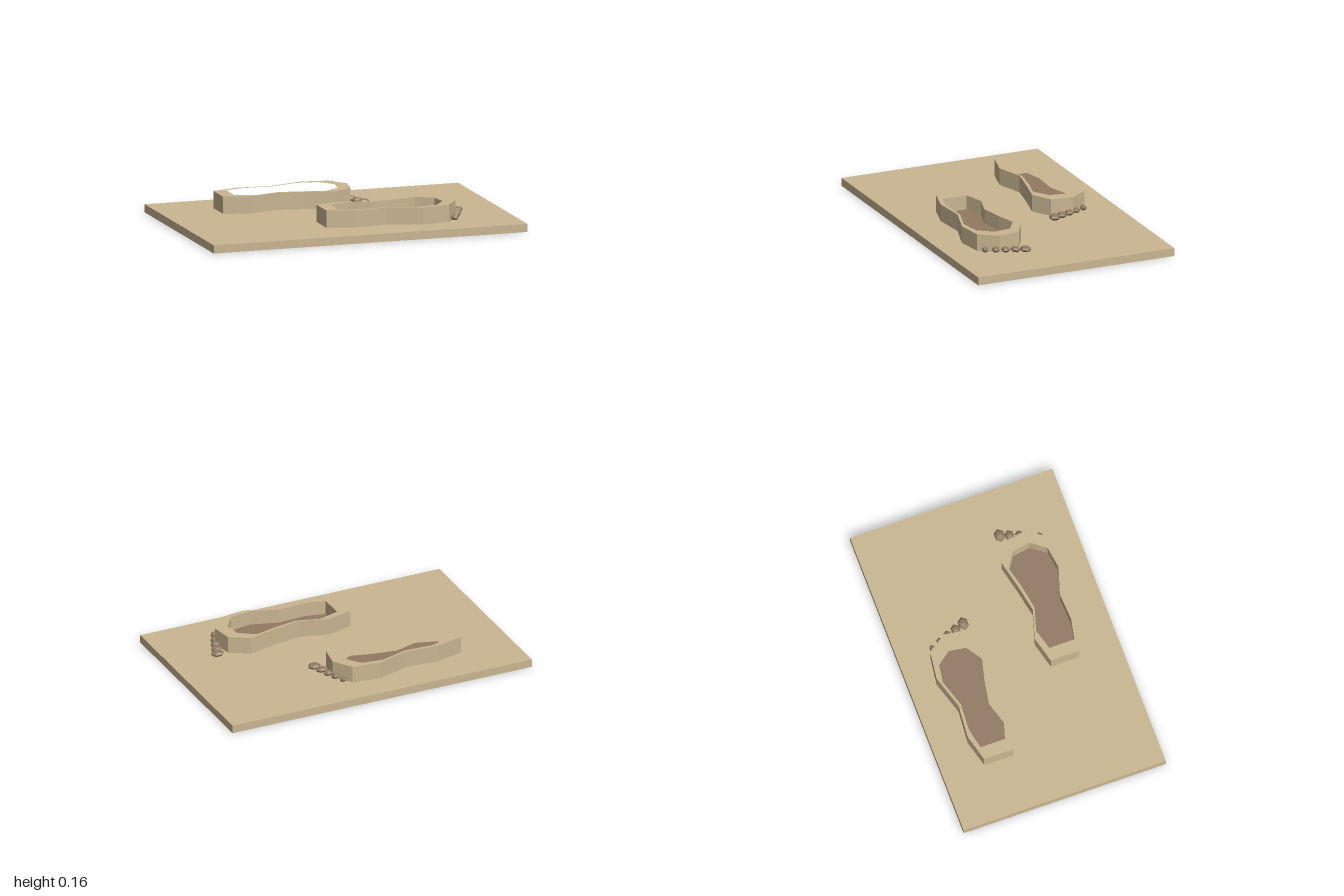
import * as THREE from 'three';

const sand = new THREE.MeshStandardMaterial({ color: 0xc9b691 });
sand.name = 'sand';
const mud = new THREE.MeshStandardMaterial({ color: 0x927a62 });
mud.name = 'mud brown';

// Footprint outlines as [x, z]
const outer = [
  [-0.65, -0.39], [-0.48, -0.435], [-0.275, -0.418], [-0.065, -0.483], [0.107, -0.46], [0.187, -0.345],
  [0.165, -0.21], [0.043, -0.14], [-0.135, -0.182], [-0.305, -0.215], [-0.485, -0.162], [-0.65, -0.205],
];
const inner = [
  [-0.57, -0.385], [-0.44, -0.412], [-0.27, -0.402], [-0.1, -0.455], [0.037, -0.435], [0.107, -0.342],
  [0.09, -0.235], [-0.01, -0.17], [-0.14, -0.203], [-0.295, -0.23], [-0.44, -0.187], [-0.57, -0.225],
];
// Toes as [x, z, half length, half width]
const toes = [
  [0.241, -0.2, 0.043, 0.03], [0.22, -0.257, 0.037, 0.026], [0.202, -0.314, 0.032, 0.023],
  [0.18, -0.37, 0.028, 0.02], [0.155, -0.429, 0.024, 0.016],
];

function add(parent, name, geometry, material) {
  const mesh = new THREE.Mesh(geometry, material);
  mesh.name = name;
  parent.add(mesh);
  return mesh;
}

// Upright slab cut from a ground outline, resting at height y
function slab(shape, y, depth) {
  return new THREE.ExtrudeGeometry(shape, { depth, bevelEnabled: false })
    .rotateX(-Math.PI / 2)
    .translate(0, y, 0);
}

// side = 1 keeps the outline, side = -1 mirrors it across z
function footprint(name, side) {
  const foot = new THREE.Group();
  foot.name = name;
  const points = (list) => list.map(([x, z]) => new THREE.Vector2(x, -z * side));

  // Raised rim around the hollow
  const rim = new THREE.Shape(points(outer));
  rim.holes.push(new THREE.Path(points(inner)));
  add(foot, 'rim', slab(rim, 0.054, 0.106), sand);

  // Sunken sole
  add(foot, 'sole', slab(new THREE.Shape(points(inner)), 0.054, 0.016), mud);

  // Faceted toes
  toes.forEach(([x, z, length, width], i) => {
    const geometry = new THREE.SphereGeometry(1, 6, 4)
      .scale(length, 0.018, width / Math.sin(Math.PI / 3))
      .toNonIndexed();
    geometry.computeVertexNormals();
    add(foot, 'toe' + (i + 1), geometry, mud).position.set(x, 0.073, z * side);
  });
  return foot;
}

export function createModel() {
  const model = new THREE.Group();
  model.name = 'footprints';

  // Ground plate
  add(model, 'ground', new THREE.BoxGeometry(2, 0.05, 1.3), sand).position.y = 0.025;

  const rear = footprint('rearFootprint', 1);
  const front = footprint('frontFootprint', -1);
  front.position.x = 0.457;
  model.add(rear, front);
  return model;
}
